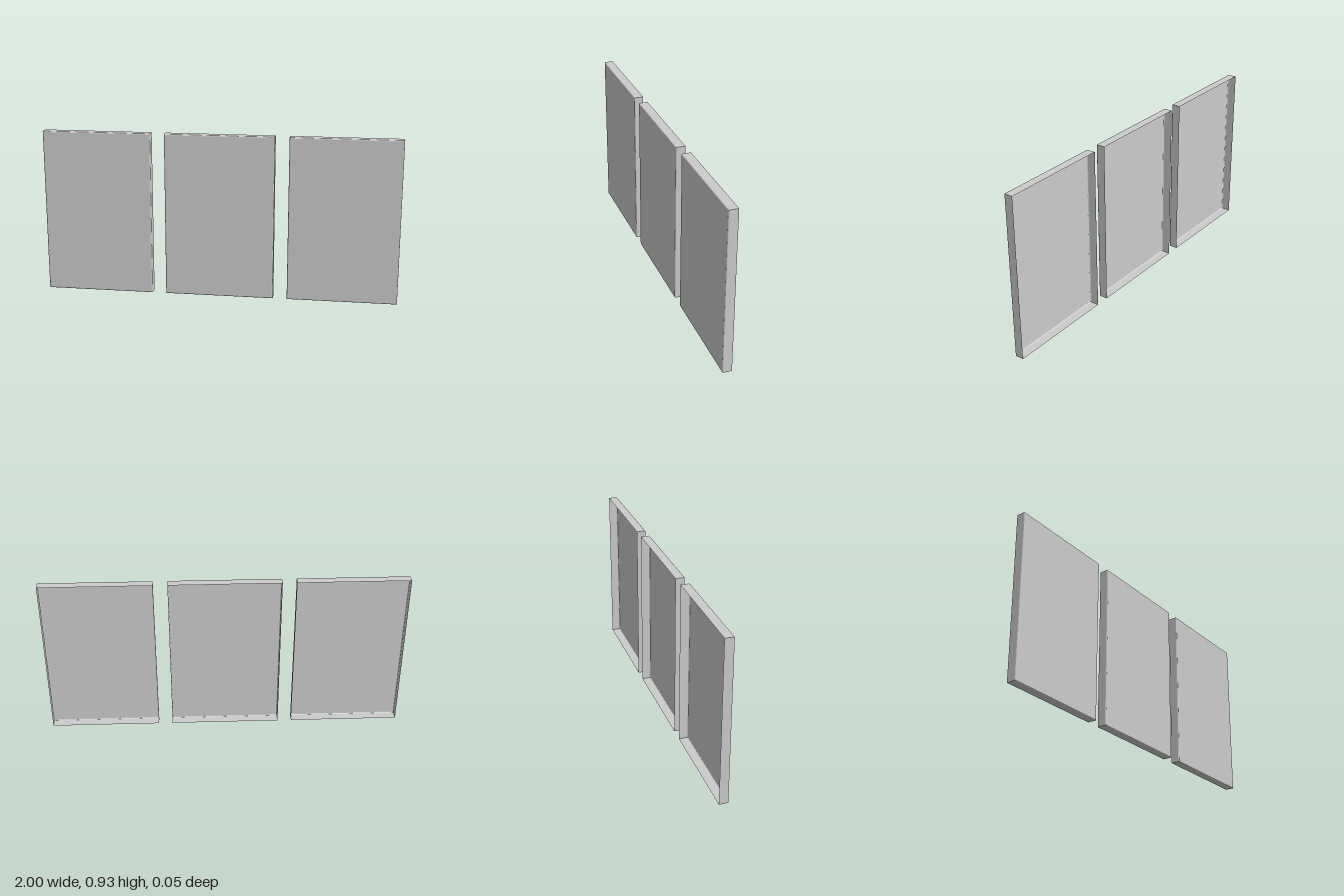
import * as THREE from 'three';

const WIDTH = 0.614, HEIGHT = 0.925, DEPTH = 0.052, BEVEL = 0.006, SPACING = 0.693;

// Open-backed shell: rectangular loops from the back rim, round the front edge, to the face
function panelGeometry() {
  const steps = 3;
  const profile = [[0, -DEPTH / 2]]; // [inset, z]
  for (let i = 0; i <= steps; i++) {
    const a = (i / steps) * Math.PI / 2;
    profile.push([BEVEL * (1 - Math.cos(a)), DEPTH / 2 - BEVEL * (1 - Math.sin(a))]);
  }
  const positions = [], indices = [];
  for (const [inset, z] of profile) {
    const x = WIDTH / 2 - inset, y = HEIGHT / 2 - inset;
    positions.push(-x, -y, z, x, -y, z, x, y, z, -x, y, z);
  }
  for (let r = 0; r < profile.length - 1; r++) {
    for (let i = 0; i < 4; i++) {
      const a = r * 4 + i, b = r * 4 + (i + 1) % 4;
      indices.push(a, b, b + 4, a, b + 4, a + 4);
    }
  }
  // Front face
  const f = (profile.length - 1) * 4;
  indices.push(f, f + 1, f + 2, f, f + 2, f + 3);

  const indexed = new THREE.BufferGeometry();
  indexed.setAttribute('position', new THREE.Float32BufferAttribute(positions, 3));
  indexed.setIndex(indices);
  const geometry = indexed.toNonIndexed();
  geometry.computeVertexNormals();
  return geometry;
}

export function createModel() {
  const group = new THREE.Group();
  group.name = 'threePanelSet';
  const material = new THREE.MeshStandardMaterial({ color: 0xcccccc, side: THREE.DoubleSide });
  const geometry = panelGeometry();

  // Three identical panels side by side
  ['rightPanel', 'middlePanel', 'leftPanel'].forEach((name, i) => {
    const panel = new THREE.Mesh(geometry, material);
    panel.name = name;
    panel.position.set((i - 1) * SPACING, HEIGHT / 2, 0);
    group.add(panel);
  });
  return group;
}
